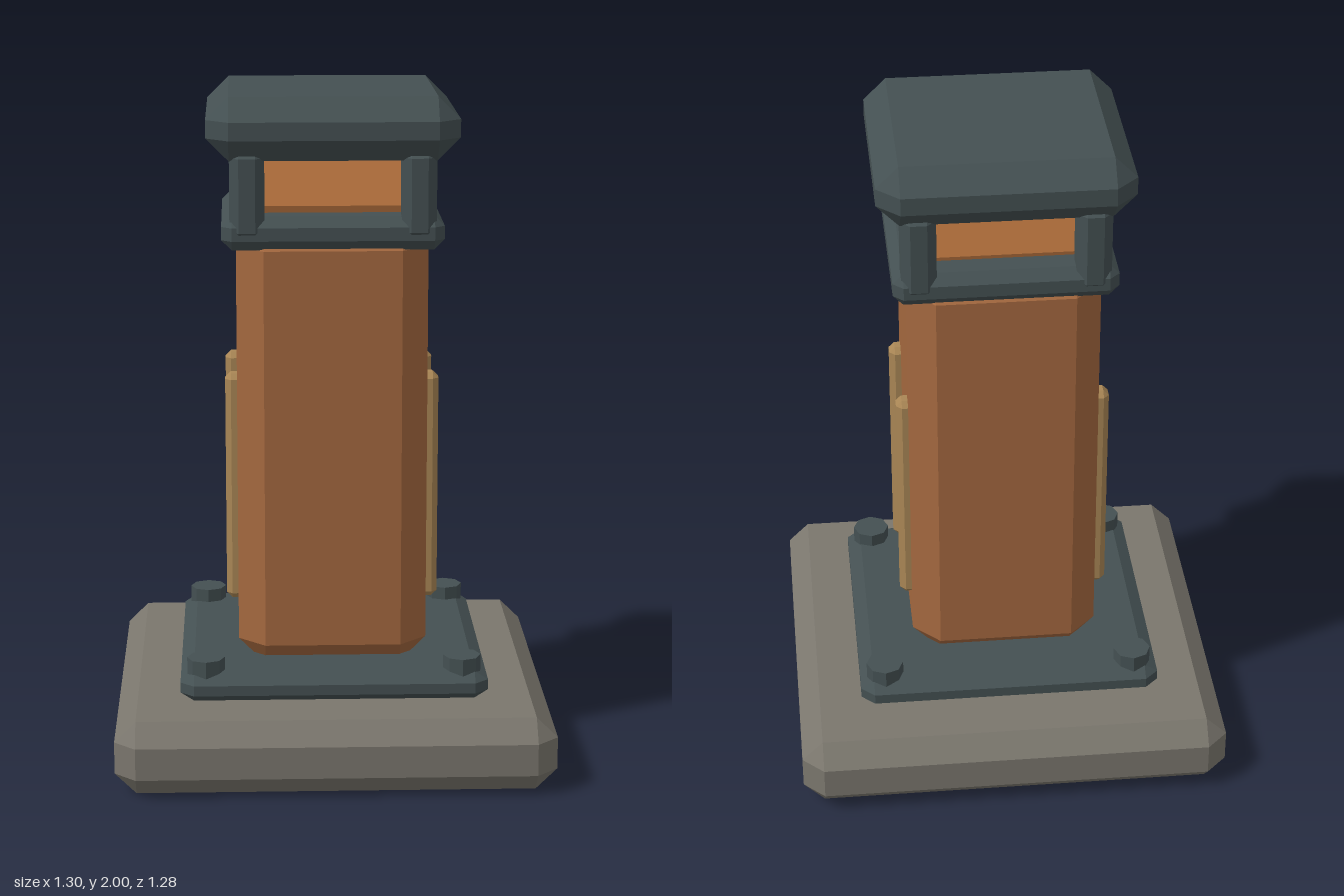
import * as THREE from 'three';
import { ConvexGeometry } from 'three/addons/geometries/ConvexGeometry.js';

const mat = (name, color) => {
  const m = new THREE.MeshStandardMaterial({ color });
  m.name = name;
  return m;
};

// Box with every edge and corner cut flat; b is the cut along x, y, z
function chamferBox(hx, hy, hz, b) {
  const [bx, by, bz] = b;
  const points = [];
  for (const sx of [-1, 1]) for (const sy of [-1, 1]) for (const sz of [-1, 1]) {
    points.push(
      new THREE.Vector3(sx * hx, sy * (hy - by), sz * (hz - bz)),
      new THREE.Vector3(sx * (hx - bx), sy * hy, sz * (hz - bz)),
      new THREE.Vector3(sx * (hx - bx), sy * (hy - by), sz * hz)
    );
  }
  return new ConvexGeometry(points);
}

export function createModel() {
  const group = new THREE.Group();
  const stone = mat('stone', 0x7a766d);
  const iron = mat('darkIron', 0x445052);
  const copper = mat('copper', 0xa4683f);
  const glow = mat('amberPanel', 0xd9894b);
  const brass = mat('brass', 0xa98655);

  // Chamfered block centred on (x, z), reaching from y0 to y1
  const block = (name, material, hx, hz, y0, y1, b, x = 0, z = 0) => {
    const mesh = new THREE.Mesh(chamferBox(hx, (y1 - y0) / 2, hz, b), material);
    mesh.position.set(x, (y0 + y1) / 2, z);
    mesh.name = name;
    group.add(mesh);
  };

  // Foot and mounting plate
  block('baseSlab', stone, 0.648, 0.638, 0, 0.22, [0.063, 0.062, 0.062]);
  block('mountingPlate', iron, 0.457, 0.44, 0.222, 0.305, [0.04, 0.026, 0.038]);

  // Column
  block('column', copper, 0.283, 0.28, 0.27, 1.63, [0.08, 0.08, 0.08]);

  // Lantern head
  block('collar', iron, 0.325, 0.3, 1.553, 1.652, [0.03, 0.03, 0.03]);
  block('lampPanel', glow, 0.235, 0.225, 1.64, 1.85, [0.035, 0.035, 0.035]);
  block('cap', iron, 0.368, 0.349, 1.815, 2, [0.066, 0.066, 0.066]);

  // Parts repeated at the four corners
  const boltGeometry = new THREE.CylinderGeometry(0.056, 0.056, 0.055, 8).toNonIndexed();
  boltGeometry.computeVertexNormals();
  for (const sx of [-1, 1]) for (const sz of [-1, 1]) {
    block('cornerPost', iron, 0.051, 0.053, 1.58, 1.85, [0.027, 0.027, 0.027], sx * 0.25, sz * 0.253);
    block('sideStrip', brass, 0.03, 0.033, 0.47, 1.165, [0.017, 0.017, 0.017], sx * 0.288, sz * 0.154);

    const bolt = new THREE.Mesh(boltGeometry, iron);
    bolt.position.set(sx * 0.381, 0.3175, sz * 0.363);
    bolt.name = 'bolt';
    group.add(bolt);
  }

  return group;
}
